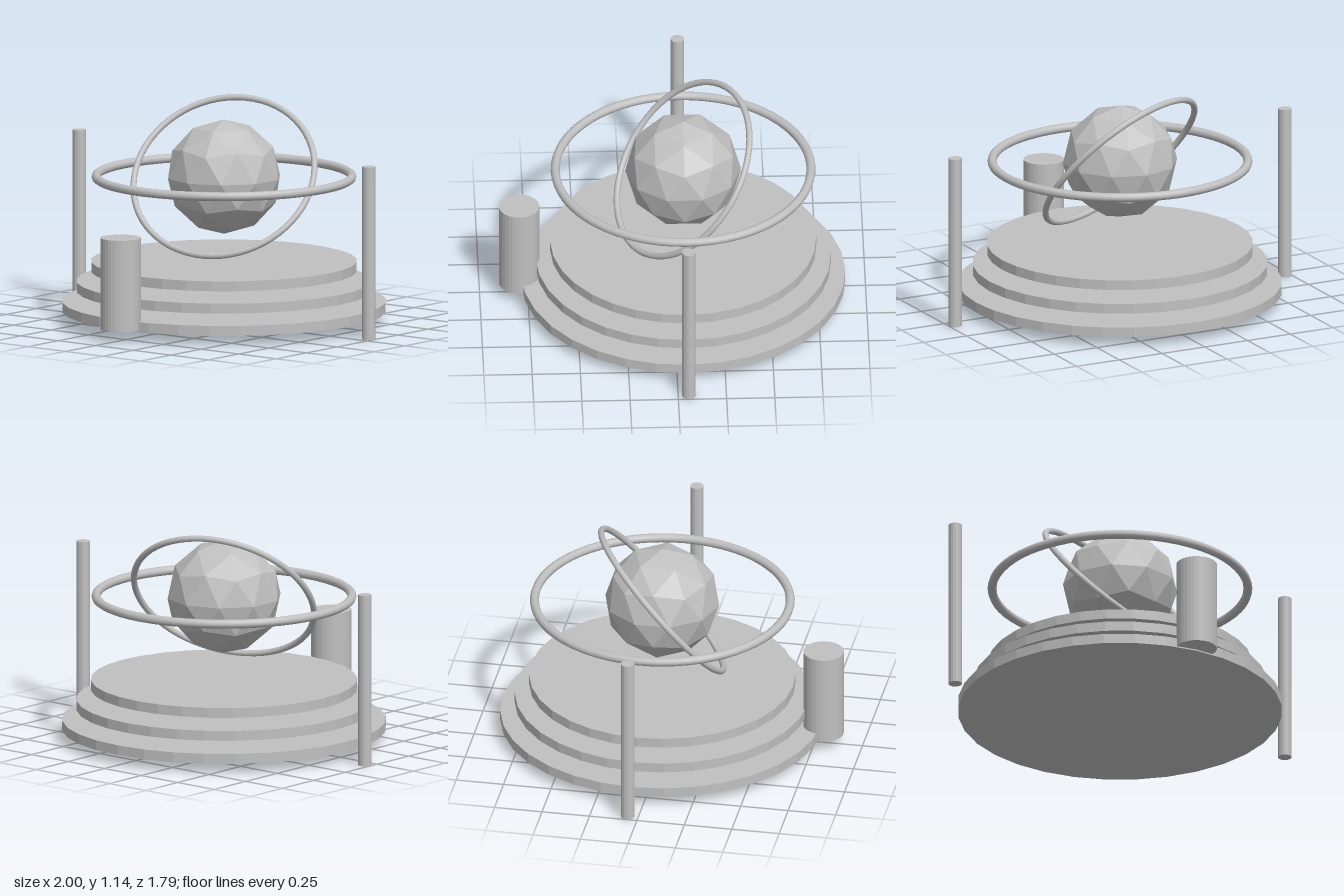
import * as THREE from 'three';

export function createModel() {
  const root = new THREE.Group();
  const stone = new THREE.MeshStandardMaterial({ color: 0xc0c0c0 });
  stone.name = 'pale grey';
  const CZ = -0.055; // depth of the common vertical axis
  const ORB_Y = 0.755;

  const add = (name, geometry, x, y, z) => {
    const mesh = new THREE.Mesh(geometry, stone);
    mesh.name = name;
    mesh.position.set(x, y, z);
    root.add(mesh);
    return mesh;
  };
  // faceted geometry: one normal per face
  const facet = (geometry) => {
    const g = geometry.index ? geometry.toNonIndexed() : geometry;
    g.computeVertexNormals();
    return g;
  };
  const drum = (name, r, y0, y1, x, z, sides = 32) =>
    add(name, facet(new THREE.CylinderGeometry(r, r, y1 - y0, sides)), x, (y0 + y1) / 2, z);

  // three floating stepped discs
  for (let i = 0; i < 3; i++) {
    const y = 0.053 + i * 0.105;
    drum('platformStep' + (i + 1), 0.84 - i * 0.075, y, y + 0.052, 0, CZ);
  }

  // side posts and front pedestal
  drum('leftPost', 0.035, 0, 0.905, 0.965, CZ, 16);
  drum('rightPost', 0.035, 0, 0.905, -0.965, CZ, 16);
  drum('frontPedestal', 0.105, 0.06, 0.54, 0, 0.795);

  // faceted orb, turned so that a five-sided corner points straight up
  const orb = new THREE.IcosahedronGeometry(0.3, 1);
  orb.rotateZ(-Math.atan(2 / (1 + Math.sqrt(5))));
  add('orb', facet(orb), 0, ORB_Y, CZ);

  // level ring and tilted ring, each given by the axis it circles
  const ring = (name, radius, tube, axis) => {
    const mesh = add(name, new THREE.TorusGeometry(radius, tube, 10, 64), 0, ORB_Y, CZ);
    mesh.quaternion.setFromUnitVectors(new THREE.Vector3(0, 0, 1), axis.normalize());
  };
  ring('levelRing', 0.6625, 0.0235, new THREE.Vector3(0, 1, 0));
  ring('tiltedRing', 0.48, 0.0165, new THREE.Vector3(0.3, 0.64, 0.708));

  return root;
}
